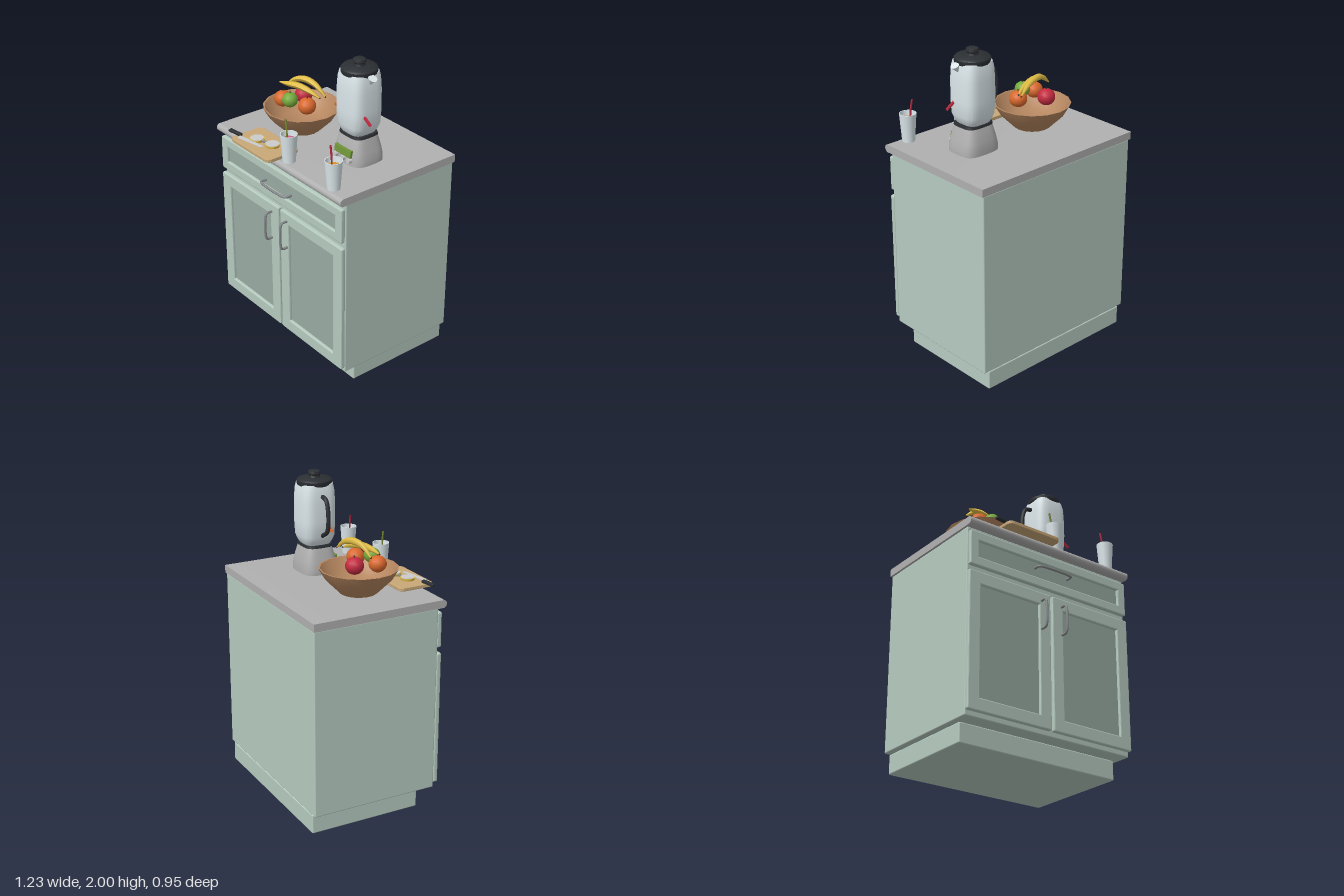
import * as THREE from 'three';
import { toCreasedNormals } from 'three/addons/utils/BufferGeometryUtils.js';
import { RoundedBoxGeometry } from 'three/addons/geometries/RoundedBoxGeometry.js';

const V = (x, y, z) => new THREE.Vector3(x, y, z);
const mat = (color) => new THREE.MeshStandardMaterial({ color, side: THREE.DoubleSide });
const GREEN = mat(0xb6cbc0), PANEL = mat(0x98aaa1), STONE = mat(0xb0b0b0), METAL = mat(0x85888a),
  BLACK = mat(0x2c2f33), GLASS = mat(0xdbe6ea), WOOD = mat(0xb5865f), BOARD = mat(0xc9a878),
  ORANGE = mat(0xd9682c), RED = mat(0xc42a40), LIME = mat(0x74a83a), YELLOW = mat(0xe0bd45),
  STEM = mat(0x4a3a22), SCREEN = mat(0x6f9438), GREY = mat(0xcccccc);

function add(parent, name, geo, material, x = 0, y = 0, z = 0) {
  const mesh = new THREE.Mesh(geo, material);
  mesh.name = name;
  mesh.position.set(x, y, z);
  parent.add(mesh);
  return mesh;
}

// Box given by its limits on each axis
function box(parent, name, material, [x0, x1], [y0, y1], [z0, z1], r = 0.008) {
  return add(parent, name, new RoundedBoxGeometry(x1 - x0, y1 - y0, z1 - z0, 2, r), material,
    (x0 + x1) / 2, (y0 + y1) / 2, (z0 + z1) / 2);
}

function rod(parent, name, material, a, b, r, sides = 8) {
  return add(parent, name, new THREE.TubeGeometry(new THREE.LineCurve3(a, b), 1, r, sides), material);
}

const lathe = (points, sides) =>
  toCreasedNormals(new THREE.LatheGeometry(points.map((p) => new THREE.Vector2(...p)), sides), 0.7);

// Rounded-square loft: rings are [y, half width, half depth]
function loft(rings, n = 40, power = 3.6) {
  const pos = [], index = [];
  const bend = (v) => Math.sign(v) * Math.abs(v) ** (2 / power);
  rings.forEach(([y, w, d], j) => {
    for (let i = 0; i < n; i++) {
      const a = (i / n) * Math.PI * 2;
      pos.push(w * bend(Math.cos(a)), y, d * bend(Math.sin(a)));
      if (j) {
        const k = (i + 1) % n, p = (j - 1) * n, q = j * n;
        index.push(p + i, q + i, p + k, p + k, q + i, q + k);
      }
    }
  });
  const g = new THREE.BufferGeometry();
  g.setAttribute('position', new THREE.Float32BufferAttribute(pos, 3));
  g.setIndex(index);
  g.computeVertexNormals();
  return toCreasedNormals(g, 0.8);
}

function roundedRect(w, h, r) {
  const s = new THREE.Shape();
  [[1, -1, -0.5], [1, 1, 0], [-1, 1, 0.5], [-1, -1, 1]].forEach(([sx, sy, a]) =>
    s.absarc(sx * (w / 2 - r), sy * (h / 2 - r), r, a * Math.PI, (a + 0.5) * Math.PI));
  return s.closePath();
}

// Framed cabinet front with a recessed panel
function front(parent, name, [x0, x1], [y0, y1], rim) {
  const g = new THREE.Group(), w = x1 - x0, h = y1 - y0, b = 0.007;
  g.name = name;
  g.position.set((x0 + x1) / 2, (y0 + y1) / 2, 0.36);
  const shape = roundedRect(w - 2 * b, h - 2 * b, 0.004);
  shape.holes.push(roundedRect(w - 2 * rim + 2 * b, h - 2 * rim + 2 * b, 0.004));
  add(g, 'frame', new THREE.ExtrudeGeometry(shape, {
    depth: 0.03 - 2 * b, bevelSize: b, bevelThickness: b, bevelSegments: 2, curveSegments: 2 }), GREEN, 0, 0, b);
  add(g, 'recessedPanel', new THREE.BoxGeometry(w - 2 * rim + 0.02, h - 2 * rim + 0.02, 0.012), PANEL, 0, 0, 0.006);
  parent.add(g);
}

function pull(parent, name, half, x, y, vertical) {
  const path = [[-1, 0, 0], [-1, 0.035, 0], [-1, 0.047, 0.012], [1, 0.047, -0.012], [1, 0.035, 0], [1, 0, 0]]
    .map(([s, z, inset]) => V(s * half + inset, 0, z));
  const m = add(parent, name, new THREE.TubeGeometry(new THREE.CatmullRomCurve3(path), 32, 0.008, 8), METAL, x, y, 0.388);
  if (vertical) m.rotation.z = Math.PI / 2;
}

function fruit(parent, name, material, x, y, z, r) {
  add(parent, name, new THREE.SphereGeometry(r, 12, 9), material, x, y, z).scale.y = 0.93;
  rod(parent, name + 'Stem', STEM, V(x, y + r * 0.85, z), V(x + 0.004, y + r * 1.1, z), 0.004, 5);
}

// Tube that narrows to both ends
function banana(parent, points) {
  const curve = new THREE.CatmullRomCurve3(points), n = 16, sides = 6;
  const g = new THREE.TubeGeometry(curve, n, 0.021, sides), p = g.attributes.position, v = V(0, 0, 0);
  for (let i = 0; i < p.count; i++) {
    const u = Math.floor(i / (sides + 1)) / n, c = curve.getPointAt(u);
    const k = Math.max(0.22, Math.sin(Math.PI * u) ** 0.6);
    v.fromBufferAttribute(p, i).sub(c).multiplyScalar(k).add(c);
    p.setXYZ(i, v.x, v.y, v.z);
  }
  g.computeVertexNormals();
  add(parent, 'banana', g, YELLOW);
  for (const end of [0, n]) {
    const c = curve.getPointAt(end / n);
    add(parent, 'bananaTip', new THREE.SphereGeometry(0.006, 6, 4), STEM, c.x, c.y, c.z);
  }
}

function makeCabinet() {
  const g = new THREE.Group();
  g.name = 'cabinet';
  box(g, 'plinth', GREEN, [-0.57, 0.57], [0, 0.125], [-0.47, 0.26]);
  box(g, 'carcass', GREEN, [-0.605, 0.605], [0.125, 1.31], [-0.47, 0.36]);
  front(g, 'drawerFront', [-0.6, 0.6], [1.055, 1.28], 0.06);
  pull(g, 'drawerHandle', 0.125, 0, 1.167, false);
  for (const s of [-1, 1]) {
    front(g, s < 0 ? 'rightDoor' : 'leftDoor', s < 0 ? [-0.605, -0.008] : [0.008, 0.605], [0.155, 1.02], 0.082);
    pull(g, 'doorHandle', 0.092, s * 0.077, 0.872, true);
  }
  // Worktop with a rounded front edge
  const s = new THREE.Shape();
  s.moveTo(0.475, 0).lineTo(-0.385, 0);
  s.absarc(-0.385, 0.025, 0.025, -Math.PI / 2, -Math.PI * 1.5, true);
  s.lineTo(0.475, 0.05).closePath();
  const top = toCreasedNormals(new THREE.ExtrudeGeometry(s, { depth: 1.23, bevelEnabled: false }), 0.7);
  add(g, 'worktop', top, STONE, -0.615, 1.31, 0).rotation.y = Math.PI / 2;
  return g;
}

function makeFruitBowl() {
  const g = new THREE.Group();
  g.name = 'fruitBowl';
  add(g, 'bowl', lathe([[0, 0], [0.115, 0], [0.15, 0.035], [0.205, 0.09], [0.243, 0.155], [0.232, 0.155],
    [0.195, 0.098], [0.14, 0.048], [0, 0.03]], 16), WOOD, -0.243, 1.36, 0.02);
  fruit(g, 'orange', ORANGE, -0.335, 1.55, 0.097, 0.055);
  fruit(g, 'orange', ORANGE, -0.152, 1.552, 0.05, 0.057);
  fruit(g, 'greenApple', LIME, -0.244, 1.577, 0.11, 0.05);
  fruit(g, 'redApple', RED, -0.304, 1.55, -0.042, 0.057);
  banana(g, [V(-0.385, 1.61, 0.022), V(-0.31, 1.665, 0.008), V(-0.24, 1.68, -0.012), V(-0.16, 1.66, -0.03), V(-0.09, 1.607, -0.043)]);
  banana(g, [V(-0.4, 1.63, 0.07), V(-0.32, 1.643, 0.06), V(-0.25, 1.648, 0.04), V(-0.17, 1.635, 0.018), V(-0.1, 1.605, -0.008)]);
  return g;
}

function makeBlender() {
  const g = new THREE.Group();
  g.name = 'blender';
  g.position.set(0.27, 1.36, -0.008);
  add(g, 'motorBase', loft([[0, 0, 0], [0, 0.133, 0.118], [0.035, 0.133, 0.118], [0.08, 0.122, 0.113],
    [0.13, 0.11, 0.1], [0.165, 0.1, 0.09], [0.172, 0, 0]]), STONE);
  add(g, 'collar', loft([[0.165, 0, 0], [0.165, 0.104, 0.094], [0.18, 0.1, 0.09], [0.18, 0, 0]]), BLACK);
  add(g, 'jug', loft([[0.175, 0, 0], [0.175, 0.08, 0.08], [0.2, 0.096, 0.096], [0.235, 0.11, 0.108],
    [0.33, 0.115, 0.113], [0.46, 0.113, 0.112], [0.53, 0.108, 0.108], [0.565, 0.1, 0.1], [0.565, 0, 0]]), GLASS);
  add(g, 'spout', new THREE.ConeGeometry(0.028, 0.06, 10), GLASS, 0.114, 0.53, 0.008).rotation.set(Math.PI, 0, 0.5);
  add(g, 'lid', lathe([[0, 0.553], [0.106, 0.553], [0.11, 0.56], [0.11, 0.582], [0.1, 0.592], [0.038, 0.598],
    [0.034, 0.61], [0.04, 0.62], [0.037, 0.634], [0.026, 0.64], [0, 0.64]], 28), BLACK);
  const path = new THREE.CatmullRomCurve3([V(-0.1, 0.495, 0), V(-0.155, 0.482, 0), V(-0.178, 0.43, 0),
    V(-0.184, 0.34, 0), V(-0.168, 0.285, 0), V(-0.105, 0.245, 0)]);
  add(g, 'jugHandle', new THREE.TubeGeometry(path, 24, 0.014, 8), BLACK);
  rod(g, 'orangeSlice', ORANGE, V(-0.178, 0.288, 0.03), V(-0.1, 0.32, 0.03), 0.012, 4);
  rod(g, 'redSlice', RED, V(0.095, 0.322, 0.048), V(0.162, 0.28, 0.048), 0.012, 4);
  const screen = box(g, 'display', SCREEN, [-0.074, 0.074], [0.052, 0.1], [0.1, 0.124], 0.004);
  screen.rotation.x = -0.15;
  for (const x of [-0.062, 0.005, 0.062])
    add(g, 'button', new THREE.CylinderGeometry(0.016, 0.018, 0.03, 14), GREY, x, 0.037, 0.12).rotation.x = Math.PI / 2;
  return g;
}

function makeGlass(x, drink, straw) {
  const g = new THREE.Group();
  g.name = 'drinkingGlass';
  g.position.set(x, 1.36, 0.35);
  add(g, 'tumbler', lathe([[0, 0], [0.04, 0], [0.044, 0.06], [0.053, 0.18], [0.048, 0.18], [0.04, 0.06], [0, 0.01]], 20), GLASS);
  add(g, 'drink', new THREE.CylinderGeometry(0.046, 0.038, 0.13, 20), mat(drink), 0, 0.08, 0);
  rod(g, 'straw', mat(straw), V(-0.012, 0.03, 0.0), V(-0.022, 0.205, -0.002), 0.005);
  rod(g, 'strawTip', mat(straw), V(-0.022, 0.2, -0.002), V(-0.033, 0.26, -0.004), 0.006);
  return g;
}

function makeCuttingBoard() {
  const g = new THREE.Group();
  g.name = 'cuttingBoard';
  const plank = new THREE.ExtrudeGeometry(roundedRect(0.382, 0.23, 0.03),
    { depth: 0.015, bevelSize: 0.004, bevelThickness: 0.004, bevelSegments: 2 });
  add(g, 'board', plank, BOARD, -0.182, 1.364, 0.354).rotation.x = -Math.PI / 2;
  for (const [x, z] of [[-0.243, 0.365], [-0.122, 0.338]]) {
    add(g, 'sliceRind', new THREE.CylinderGeometry(0.047, 0.044, 0.014, 20), YELLOW, x, 1.39, z);
    add(g, 'sliceFlesh', new THREE.CylinderGeometry(0.042, 0.042, 0.004, 20), GREY, x, 1.398, z);
  }
  rod(g, 'sliceLink', METAL, V(-0.2, 1.39, 0.355), V(-0.165, 1.39, 0.347), 0.008);
  // Knife lying flat
  const knife = new THREE.Group();
  knife.name = 'knife';
  knife.position.set(-0.34, 1.393, 0.413);
  knife.rotation.y = 0.13;
  box(knife, 'knifeHandle', BLACK, [-0.105, 0], [-0.009, 0.009], [-0.013, 0.013], 0.006);
  const s = new THREE.Shape([[-0.005, -0.008], [0.21, -0.008], [0.198, -0.03], [0.01, -0.04]].map((p) => new THREE.Vector2(...p)));
  add(knife, 'knifeBlade', new THREE.ExtrudeGeometry(s, { depth: 0.004, bevelEnabled: false }), GREY, 0, -0.003, 0)
    .rotation.x = -Math.PI / 2;
  g.add(knife);
  return g;
}

export function createModel() {
  const model = new THREE.Group();
  model.name = 'kitchenCabinet';
  model.add(makeCabinet(), makeFruitBowl(), makeBlender(), makeCuttingBoard(),
    makeGlass(0.06, 0xcf5f86, 0x77882f), makeGlass(0.48, 0xd9952e, 0xb02840));
  return model;
}
